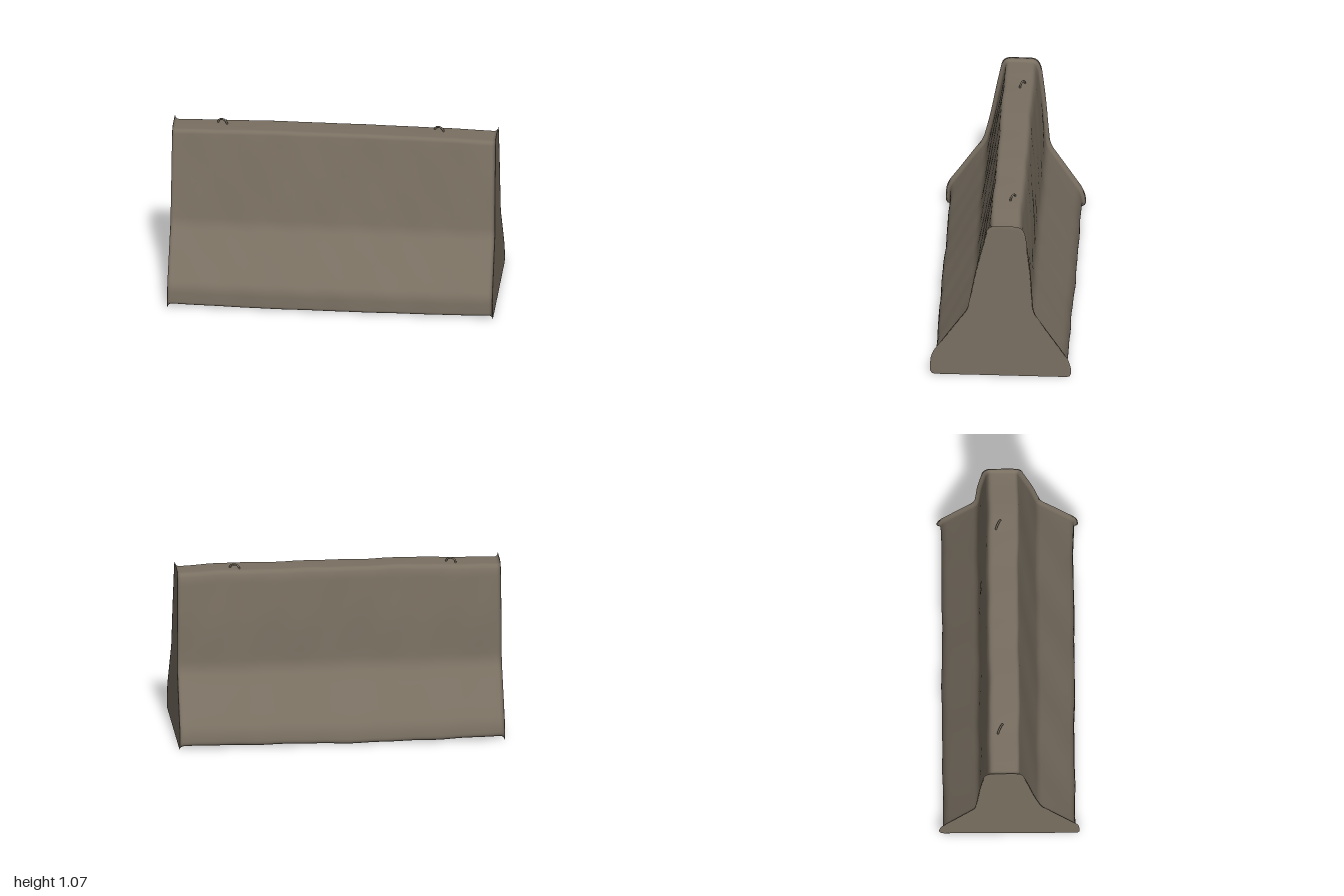
import * as THREE from 'three';

// Barrier cross-section corners as [z, y, corner radius], counter-clockwise seen from +x
const CORNERS = [
  [0.408, 0.018, 0.02], [-0.408, 0.018, 0.03], [-0.392, 0.11, 0.05], [-0.18, 0.44, 0.05],
  [-0.16, 0.72, 0.08], [-0.128, 0.99, 0.03], [-0.11, 1.034, 0.025], [0.062, 1.034, 0.025],
  [0.18, 0.46, 0.04], [0.402, 0.135, 0.04],
];

// Rounds every corner and subdivides the straight runs between them
function roundedProfile() {
  const pts = [];
  const n = CORNERS.length;
  const at = (i) => new THREE.Vector2(CORNERS[(i + n) % n][0], CORNERS[(i + n) % n][1]);
  const cut = (i, j) => {
    const a = at(i), d = at(j).sub(a);
    const r = Math.min(CORNERS[(i + n) % n][2], d.length() * 0.45);
    return a.add(d.setLength(r));
  };
  for (let i = 0; i < n; i++) {
    const start = cut(i, i - 1), end = cut(i, i + 1), next = cut(i + 1, i);
    pts.push(...new THREE.QuadraticBezierCurve(start, at(i), end).getPoints(4));
    const steps = Math.max(1, Math.round(end.distanceTo(next) / 0.06));
    for (let s = 1; s < steps; s++) pts.push(end.clone().lerp(next, s / steps));
  }
  return pts;
}

// Inward offset direction at each profile point
function inwardNormals(pts) {
  return pts.map((p, i) => {
    const a = pts[(i + pts.length - 1) % pts.length], b = pts[(i + 1) % pts.length];
    const t = b.clone().sub(a).normalize();
    return new THREE.Vector2(t.y, -t.x).multiplyScalar(-1);
  });
}

// Soft unevenness of cast, worn concrete
function wear(x, y, z) {
  return 0.0022 * Math.sin(5.1 * x + 4 * y + 2 * z) + 0.0018 * Math.sin(11.3 * x - 7 * y + 5 * z + 1)
    + 0.0012 * Math.sin(23 * x + 13 * y - 9 * z + 2);
}

function barrierGeometry() {
  const profile = roundedProfile();
  const inward = inwardNormals(profile);
  const n = profile.length;
  const rings = []; // [x, inset, scale]
  const R = 0.025;
  const end = (side) => {
    const list = [[side * 0.998, R, 0.35], [side * 0.998, R, 0.7], [side * 0.998, R, 0.96]];
    for (let k = 0; k <= 4; k++) {
      const a = (k / 4) * Math.PI / 2;
      list.push([side * (0.998 - R + R * Math.cos(a)), R * (1 - Math.sin(a)), 1]);
    }
    return list;
  };
  rings.push(...end(-1));
  for (let k = 1; k < 40; k++) rings.push([-0.973 + 1.946 * k / 40, 0, 1]);
  rings.push(...end(1).reverse());

  const pos = [], index = [];
  const CY = 0.4;
  const push = (x, y, z, w) => {
    const bow = 1 - x * x;
    const lift = y > 0.5 ? 0.012 * bow * (y - 0.5) / 0.5 : -0.012 * bow * (0.5 - y) / 0.5;
    const slope = x > 0 ? 1 - 0.012 * y : 1; // the +x end leans in slightly
    pos.push(x * slope, Math.max(0, y + lift + w * 0.8), z + w);
  };
  for (const [x, inset, scale] of rings) {
    profile.forEach((p, i) => {
      const z = (p.x + inward[i].x * inset) * scale;
      const y = CY + (p.y + inward[i].y * inset - CY) * scale;
      push(x, y, z, wear(x, y, z) * scale);
    });
  }
  for (let r = 0; r < rings.length - 1; r++) {
    for (let i = 0; i < n; i++) {
      const j = (i + 1) % n, a = r * n + i, b = r * n + j, c = a + n, d = b + n;
      index.push(a, b, c, b, d, c);
    }
  }
  // End cap centres
  const left = pos.length / 3;
  push(-0.998, CY, 0, 0);
  push(0.998, CY, 0, 0);
  const last = (rings.length - 1) * n;
  for (let i = 0; i < n; i++) {
    const j = (i + 1) % n;
    index.push(left, j, i, left + 1, last + i, last + j);
  }
  // Orient faces outward by the sign of the enclosed volume
  let volume = 0;
  const v = (k) => new THREE.Vector3().fromArray(pos, index[k] * 3);
  for (let k = 0; k < index.length; k += 3) volume += v(k).dot(v(k + 1).cross(v(k + 2)));
  if (volume < 0) index.reverse();

  const g = new THREE.BufferGeometry();
  g.setAttribute('position', new THREE.Float32BufferAttribute(pos, 3));
  g.setIndex(index);
  g.computeVertexNormals();
  return g;
}

export function createModel() {
  const concrete = new THREE.MeshStandardMaterial({ color: 0x7a7062 });
  concrete.name = 'concrete';
  const steel = new THREE.MeshStandardMaterial({ color: 0x746d60 });
  steel.name = 'weathered steel';

  const model = new THREE.Group();
  model.name = 'concreteBarrier';

  const body = new THREE.Mesh(barrierGeometry(), concrete);
  body.name = 'barrierBody';
  model.add(body);

  // Lifting loops: bent bars set into the top face
  const path = new THREE.CatmullRomCurve3([
    [-0.031, -0.03], [-0.032, 0.012], [-0.024, 0.031], [0, 0.04], [0.024, 0.031], [0.032, 0.012], [0.031, -0.03],
  ].map(([x, y]) => new THREE.Vector3(x, y, 0)));
  const loopGeometry = new THREE.TubeGeometry(path, 24, 0.006, 8);
  [[-0.7, -0.05], [0.628, -0.056]].forEach(([x, z], i) => {
    const loop = new THREE.Mesh(loopGeometry, steel);
    loop.name = i ? 'liftingLoopLeft' : 'liftingLoopRight';
    loop.position.set(x, 1.026, z);
    loop.rotation.y = -0.45;
    model.add(loop);
  });
  return model;
}
